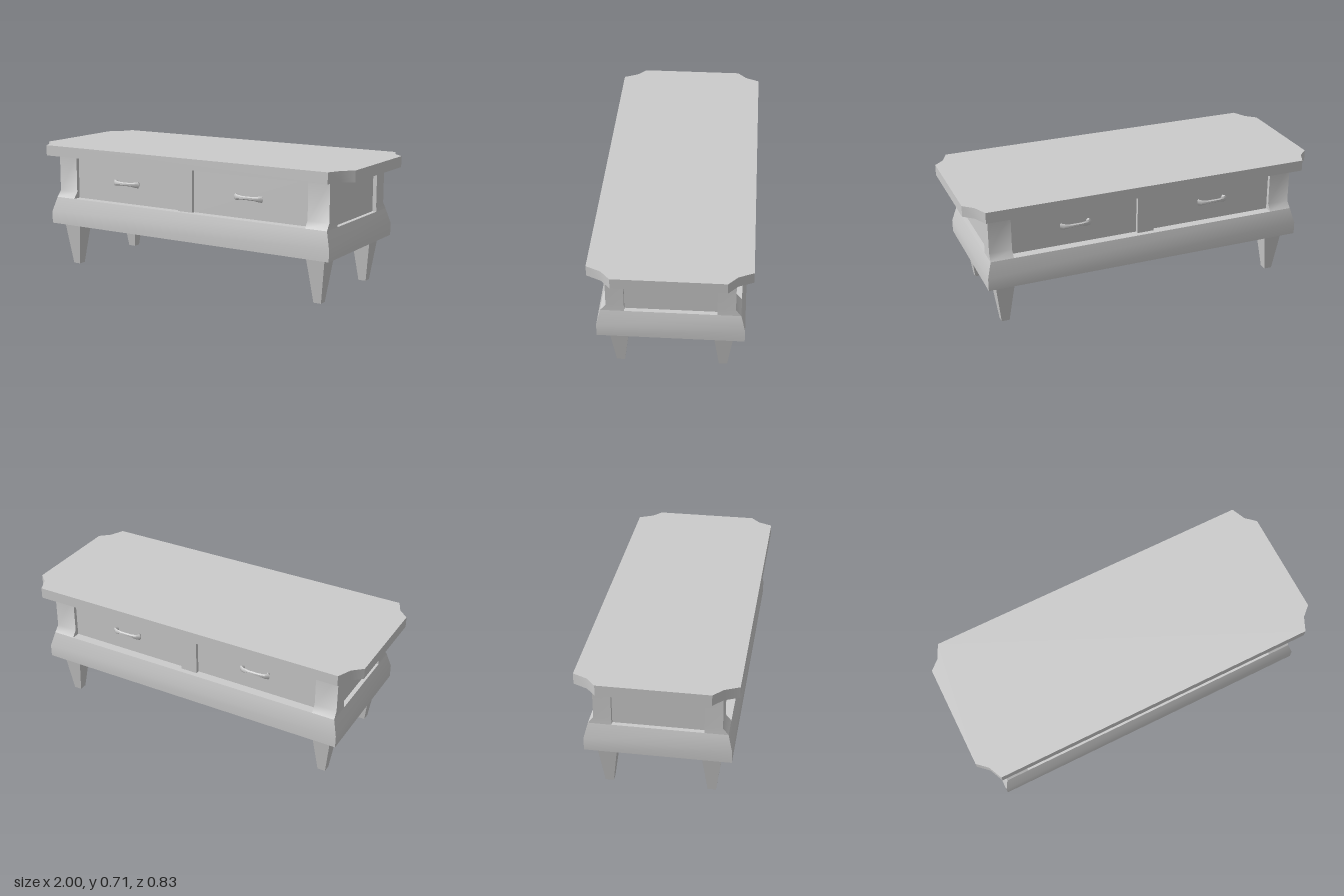
import * as THREE from 'three';
import { toCreasedNormals } from 'three/addons/utils/BufferGeometryUtils.js';

const material = new THREE.MeshStandardMaterial({ color: 0xcccccc });

function add(parent, name, geometry) {
  const mesh = new THREE.Mesh(geometry, material);
  mesh.name = name;
  parent.add(mesh);
  return mesh;
}

// Closed solid through rings of points, all with the same count
function loft(rings, crease = 0.7) {
  const n = rings[0].length, last = (rings.length - 1) * n, index = [];
  for (let r = 0; r < rings.length - 1; r++) {
    for (let i = 0; i < n; i++) {
      const a = r * n + i, b = r * n + (i + 1) % n;
      index.push(a, b, b + n, a, b + n, a + n);
    }
  }
  for (let i = 1; i < n - 1; i++) {
    index.push(0, i + 1, i, last, last + i, last + i + 1);
  }
  const geometry = new THREE.BufferGeometry();
  geometry.setAttribute('position', new THREE.Float32BufferAttribute(rings.flat(2), 3));
  geometry.setIndex(index);
  return toCreasedNormals(geometry, crease);
}

// Horizontal rectangle between two corners
function rect(y, xa, xb, za, zb) {
  const x0 = Math.min(xa, xb), x1 = Math.max(xa, xb);
  const z0 = Math.min(za, zb), z1 = Math.max(za, zb);
  return [[x0, y, z1], [x1, y, z1], [x1, y, z0], [x0, y, z0]];
}

function box(x0, x1, y0, y1, z0, z1) {
  return loft([rect(y0, x0, x1, z0, z1), rect(y1, x0, x1, z0, z1)], 0.1);
}

// Bowed pull: a six-sided bar, thicker at its two ends
function handleGeometry() {
  const half = [[-0.07, 0.305, 0.015], [-0.082, 0.325, 0.018], [-0.066, 0.334, 0.015], [-0.035, 0.337, 0.01]];
  const path = [...half, ...half.map(([x, z, r]) => [-x, z, r]).reverse()];
  const rings = path.map(([x, z, r], i) => {
    const a = path[Math.max(i - 1, 0)], b = path[Math.min(i + 1, path.length - 1)];
    const length = Math.hypot(b[0] - a[0], b[1] - a[1]);
    const tx = (b[0] - a[0]) / length, tz = (b[1] - a[1]) / length;
    return Array.from({ length: 6 }, (_, k) => {
      const angle = k * Math.PI / 3;
      const up = r * Math.cos(angle), out = 0.008 * Math.sin(angle);
      return [x - tz * out, 0.521 + up, z + tx * out];
    });
  });
  return loft(rings, 0.9);
}

export function createModel() {
  const model = new THREE.Group();
  model.name = 'coffeeTable';

  // Table top with scooped corners
  const corner = [[1, 0.288], [0.945, 0.338], [0.91, 0.415]];
  const flipped = [...corner].reverse();
  const outline = [
    ...corner,
    ...flipped.map(([x, z]) => [-x, z]),
    ...corner.map(([x, z]) => [-x, -z]),
    ...flipped.map(([x, z]) => [x, -z]),
  ].map(([x, z]) => new THREE.Vector2(x, z));
  const top = new THREE.ExtrudeGeometry(new THREE.Shape(outline), { depth: 0.06, bevelEnabled: false });
  top.rotateX(-Math.PI / 2).translate(0, 0.655, 0);
  add(model, 'tableTop', toCreasedNormals(top, 0.6));

  // Flared plinth
  const plinth = [[0.25, 0.908, 0.382], [0.32, 0.908, 0.382], [0.404, 0.884, 0.36]];
  add(model, 'plinth', loft(plinth.map(([y, x, z]) => rect(y, -x, x, -z, z))));

  // Recessed cabinet core, its ends forming the side panels
  add(model, 'cabinetCore', box(-0.86, 0.86, 0.4, 0.656, -0.3, 0.3));

  // Corner posts and tapered legs
  for (const sx of [-1, 1]) {
    for (const sz of [-1, 1]) {
      const post = [[0.404, 0.884, 0.36], [0.44, 0.882, 0.331], [0.656, 0.882, 0.331]];
      add(model, 'cornerPost', loft(post.map(([y, x, z]) =>
        rect(y, sx * 0.758, sx * x, sz * 0.238, sz * z))));

      const leg = [[0, 0.022], [0.251, 0.055]].map(([y, h]) =>
        rect(y, sx * 0.803 - h, sx * 0.803 + h, sz * 0.273 - h, sz * 0.273 + h));
      add(model, 'leg', loft(leg, 0.3));
    }
  }

  // Drawers, divider and pulls on both long faces
  const handle = handleGeometry();
  for (const turn of [0, Math.PI]) {
    const face = new THREE.Group();
    face.name = turn ? 'backFace' : 'frontFace';
    face.rotation.y = turn;
    add(face, 'divider', box(-0.047, 0.047, 0.4, 0.656, 0.29, 0.331));
    for (const side of [-1, 1]) {
      add(face, 'drawerFront', box(side * 0.047, side * 0.758, 0.404, 0.656, 0.29, 0.31));
      add(face, 'drawerHandle', handle).position.x = side * 0.402;
    }
    model.add(face);
  }
  return model;
}
